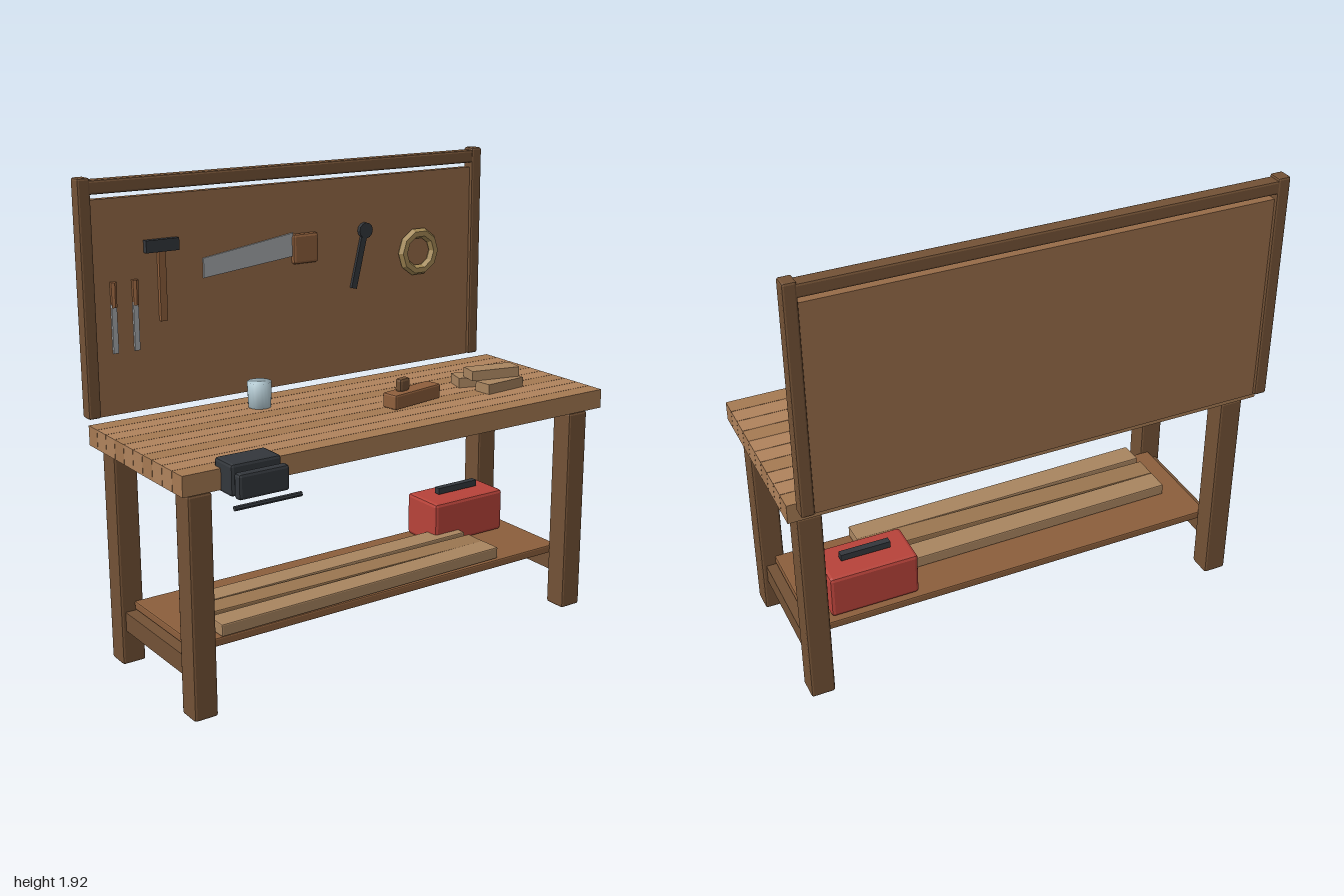
import * as THREE from 'three';
import { RoundedBoxGeometry } from 'three/addons/geometries/RoundedBoxGeometry.js';

const mat = (color, flatShading = true) => new THREE.MeshStandardMaterial({ color, flatShading });
const M = {
  frame: mat(0x735236), panel: mat(0x966b48), top: mat(0xb0835c), topDark: mat(0xa67a53),
  shelf: mat(0x8c5f3c), lumber: mat(0xa98560), lumberDark: mat(0x9b7650), handle: mat(0x8f5f3c),
  iron: mat(0x33373c), steel: mat(0xa8abae), red: mat(0xb8433a), tape: mat(0xa58a55),
  glass: mat(0xb9d0d9, false),
};

export function createModel() {
  const root = new THREE.Group();

  const add = (name, geo, material, x, y, z, parent = root) => {
    const mesh = new THREE.Mesh(geo, material);
    mesh.name = name;
    mesh.position.set(x, y, z);
    parent.add(mesh);
    return mesh;
  };
  // Box given by its extents; a bevel above zero chamfers the edges
  const box = (name, material, [x0, x1], [y0, y1], [z0, z1], bevel = 0, parent = root) => {
    const s = [x1 - x0, y1 - y0, z1 - z0];
    const geo = bevel ? new RoundedBoxGeometry(...s, 1, bevel) : new THREE.BoxGeometry(...s);
    return add(name, geo, material, (x0 + x1) / 2, (y0 + y1) / 2, (z0 + z1) / 2, parent);
  };
  const group = (name) => {
    const g = new THREE.Group();
    g.name = name;
    root.add(g);
    return g;
  };

  // Worktop made of ten planks with fine gaps
  const worktop = group('worktop');
  const pitch = 0.0755;
  for (let i = 0; i < 10; i++) {
    const z = -0.405 + i * pitch;
    box('worktopPlank', i % 3 === 0 ? M.topDark : M.top, [-1, 1], [0.9, 0.98], [z, z + pitch - 0.002], 0, worktop);
  }

  // Legs and end rails
  for (const s of [-1, 1]) {
    const x = [s * 0.91 - 0.05, s * 0.91 + 0.05];
    box('frontLeg', M.frame, x, [0, 0.885], [0.21, 0.31], 0.01);
    box('backLeg', M.frame, x, [0, 0.885], [-0.38, -0.28], 0.01);
    box('endRail', M.frame, [s * 0.91 - 0.03, s * 0.91 + 0.03], [0.145, 0.225], [-0.285, 0.215]);
  }
  box('shelf', M.shelf, [-0.9, 0.9], [0.23, 0.265], [-0.28, 0.215], 0.006);

  // Tool board: posts, top rail and panel
  for (const s of [-1, 1]) {
    box('boardPost', M.frame, [s * 0.95 - 0.027, s * 0.95 + 0.027], [0.985, 1.925], [-0.507, -0.447], 0.009);
  }
  box('boardTopRail', M.frame, [-0.94, 0.94], [1.86, 1.915], [-0.505, -0.45], 0.009);
  box('boardPanel', M.panel, [-0.922, 0.922], [0.985, 1.84], [-0.495, -0.462]);

  // Chisels
  for (const x of [-0.845, -0.752]) {
    box('chiselBlade', M.steel, [x - 0.011, x + 0.011], [1.235, 1.43], [-0.462, -0.452]);
    add('chiselHandle', new THREE.CylinderGeometry(0.014, 0.012, 0.1, 6), M.handle, x, 1.468, -0.454);
  }

  // Hammer
  box('hammerHead', M.iron, [-0.705, -0.56], [1.618, 1.667], [-0.47, -0.438]);
  box('hammerHandle', M.handle, [-0.648, -0.618], [1.34, 1.62], [-0.463, -0.445]);

  // Saw: tapered blade and block grip
  const blade = new THREE.Shape([[-0.445, 1.49], [-0.02, 1.535], [-0.02, 1.633], [-0.445, 1.57]]
    .map(([x, y]) => new THREE.Vector2(x, y)));
  add('sawBlade', new THREE.ExtrudeGeometry(blade, { depth: 0.008, bevelEnabled: false }), M.steel, 0, 0, -0.462);
  box('sawHandle', M.handle, [-0.025, 0.1], [1.5, 1.627], [-0.47, -0.442], 0.012);

  // Wrench
  const head = add('wrenchHead', new THREE.CylinderGeometry(0.034, 0.034, 0.02, 12), M.iron, 0.345, 1.61, -0.454);
  head.rotation.x = Math.PI / 2;
  const shaft = add('wrenchShaft', new THREE.BoxGeometry(0.028, 0.255, 0.014), M.iron, 0.315, 1.488, -0.456);
  shaft.rotation.z = -0.24;

  // Hanging tape roll
  add('tapeRoll', new THREE.TorusGeometry(0.084, 0.023, 6, 10), M.tape, 0.63, 1.49, -0.452);

  // Vise
  box('viseBody', M.iron, [-0.845, -0.635], [0.89, 1.012], [0.3, 0.42], 0.012);
  box('viseJaw', M.iron, [-0.845, -0.635], [0.892, 0.99], [0.435, 0.475], 0.012);
  const bar = add('viseHandle', new THREE.CylinderGeometry(0.01, 0.01, 0.275, 8), M.iron, -0.738, 0.878, 0.492);
  bar.rotation.z = Math.PI / 2;

  // Jar with soft shading
  const jar = [[0, 0], [0.046, 0], [0.05, 0.105], [0, 0.105]].map(([x, y]) => new THREE.Vector2(x, y));
  add('jar', new THREE.LatheGeometry(jar, 20), M.glass, -0.32, 0.982, -0.25);

  // Hand plane
  const plane = group('handPlane');
  plane.position.set(0.21, 0.98, 0.068);
  plane.rotation.y = 0.18;
  box('planeBody', M.handle, [-0.133, 0.133], [0.005, 0.068], [-0.038, 0.038], 0.008, plane);
  box('planeKnob', M.frame, [-0.085, -0.027], [0.065, 0.122], [-0.017, 0.017], 0.012, plane);

  // Offcuts: length, width, base height, z, turn
  for (const [l, w, y, z, turn] of [
    [0.25, 0.095, 0.98, -0.022, -0.3], [0.2, 0.08, 0.98, 0.092, 0.08], [0.22, 0.085, 1.022, 0.038, -0.22],
  ]) {
    const cut = add('offcut', new THREE.BoxGeometry(l, 0.042, w), M.lumber, 0.655, y + 0.021, z);
    cut.rotation.y = turn;
  }

  // Long boards stored on the shelf
  for (const [x, z, turn, m] of [
    [-0.108, 0.165, 0.012, M.lumber], [-0.11, 0.055, -0.012, M.lumberDark], [-0.11, -0.06, 0.01, M.lumber],
  ]) {
    const board = add('storedBoard', new RoundedBoxGeometry(1.36, 0.05, 0.1, 1, 0.005), m, x, 0.293, z);
    board.rotation.y = turn;
  }

  // Toolbox with carrying bar
  box('toolbox', M.red, [0.44, 0.815], [0.268, 0.457], [-0.26, -0.055], 0.015);
  box('toolboxHandle', M.iron, [0.525, 0.735], [0.464, 0.492], [-0.172, -0.143]);

  return root;
}
